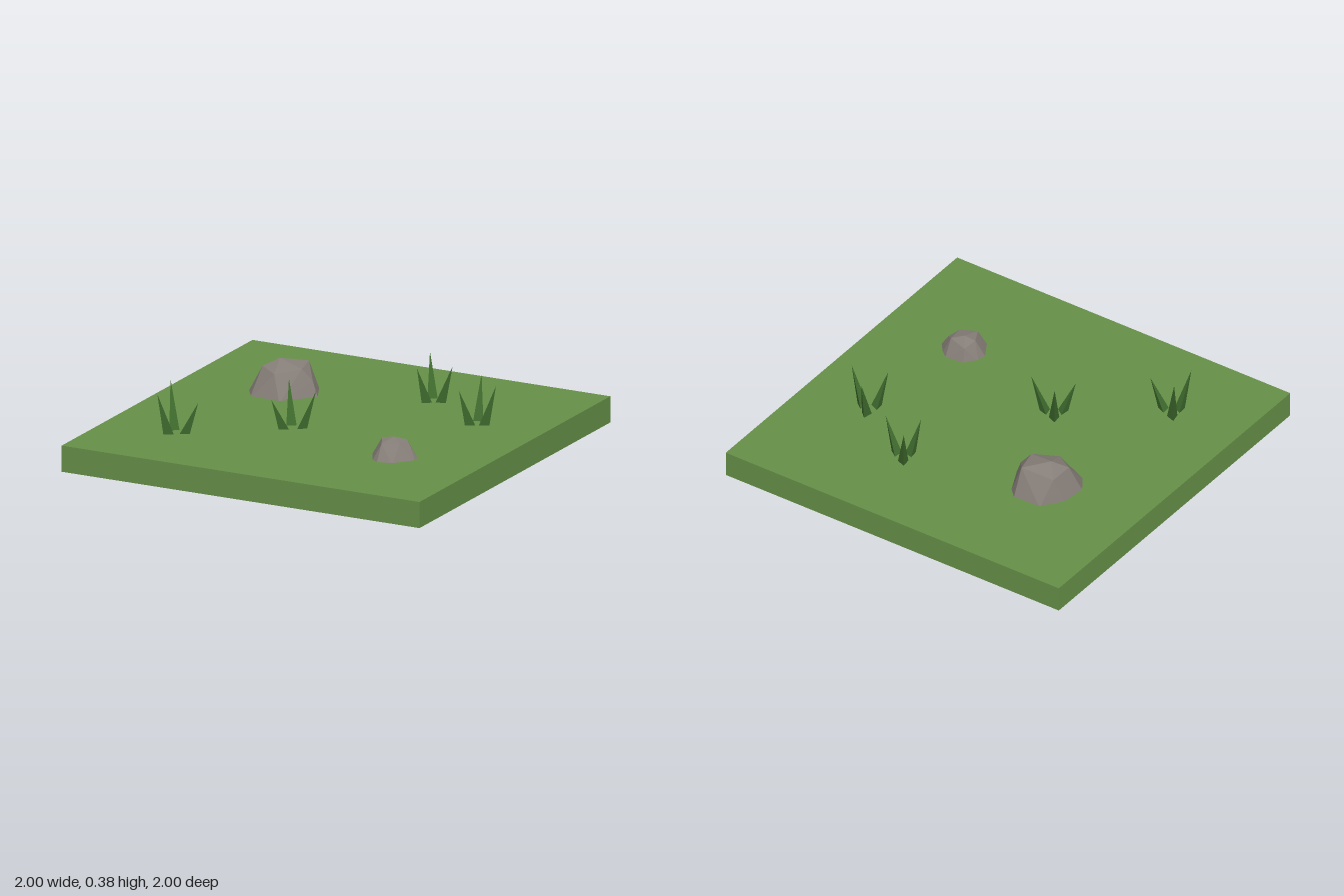
import * as THREE from 'three';
import { ConvexGeometry } from 'three/addons/geometries/ConvexGeometry.js';

const TOP = 0.135; // height of the ground surface

const material = (color) => new THREE.MeshStandardMaterial({ color, flatShading: true });
const point = ([x, y, z]) => new THREE.Vector3(x, y, z);

// Faceted boulder: a footprint sunk slightly into the ground plus upper corners.
function makeRock(name, footprint, upper, mat) {
  const points = footprint.map(([x, z]) => new THREE.Vector3(x, TOP - 0.01, z));
  points.push(...upper.map(point));
  const rock = new THREE.Mesh(new ConvexGeometry(points), mat);
  rock.name = name;
  return rock;
}

// Three-sided spike standing beside the tuft centre and leaning out to its tip.
function makeBlade(cx, cz, tip, mat) {
  const center = new THREE.Vector3(cx, TOP - 0.002, cz);
  const out = new THREE.Vector3(tip[0] - cx, 0, tip[2] - cz).normalize();
  const side = new THREE.Vector3(-out.z, 0, out.x);
  const corner = (o, s) => center.clone().addScaledVector(out, o).addScaledVector(side, s);
  const blade = new THREE.Mesh(
    new ConvexGeometry([corner(0.075, 0), corner(0.03, 0.026), corner(0.03, -0.026), point(tip)]), mat);
  blade.name = 'grassBlade';
  return blade;
}

export function createModel() {
  const model = new THREE.Group();
  model.name = 'grassTile';
  const groundMat = material(0x669048);
  const grassMat = material(0x3f6b2e);
  const rockMat = material(0x857d77);

  // Ground slab
  const ground = new THREE.Mesh(new THREE.BoxGeometry(2, TOP, 2), groundMat);
  ground.position.y = TOP / 2;
  ground.name = 'ground';
  model.add(ground);

  // Rocks
  model.add(makeRock('largeRock',
    [[-0.53, -0.49], [-0.38, -0.5], [-0.33, -0.45], [-0.265, -0.31],
      [-0.4, -0.155], [-0.57, -0.165], [-0.625, -0.25], [-0.61, -0.38]],
    [[-0.49, 0.3, -0.33], [-0.56, 0.262, -0.28], [-0.46, 0.25, -0.215], [-0.35, 0.27, -0.3],
      [-0.38, 0.275, -0.43], [-0.55, 0.25, -0.4], [-0.3, 0.21, -0.32]], rockMat));
  model.add(makeRock('smallRock',
    [[0.47, 0.285], [0.57, 0.275], [0.61, 0.305], [0.655, 0.36], [0.655, 0.4],
      [0.58, 0.5], [0.5, 0.515], [0.46, 0.49], [0.41, 0.4], [0.42, 0.35]],
    [[0.52, 0.232, 0.37], [0.46, 0.22, 0.38], [0.5, 0.214, 0.46], [0.58, 0.215, 0.42],
      [0.575, 0.215, 0.335], [0.48, 0.2, 0.315], [0.615, 0.19, 0.37]], rockMat));

  // Grass tufts: centre x, z and the three blade tips
  const tufts = [
    [-0.61, 0.535, [-0.685, 0.375, 0.45], [-0.49, 0.3, 0.525], [-0.66, 0.35, 0.635]],
    [-0.14, 0.195, [-0.207, 0.355, 0.105], [-0.023, 0.33, 0.167], [-0.207, 0.29, 0.288]],
    [0.262, -0.53, [0.192, 0.352, -0.625], [0.377, 0.33, -0.515], [0.222, 0.32, -0.432]],
    [0.63, -0.297, [0.596, 0.355, -0.408], [0.745, 0.347, -0.28], [0.583, 0.322, -0.195]],
  ];
  for (const [cx, cz, ...tips] of tufts) {
    const tuft = new THREE.Group();
    tuft.name = 'grassTuft';
    for (const tip of tips) tuft.add(makeBlade(cx, cz, tip, grassMat));
    model.add(tuft);
  }
  return model;
}
